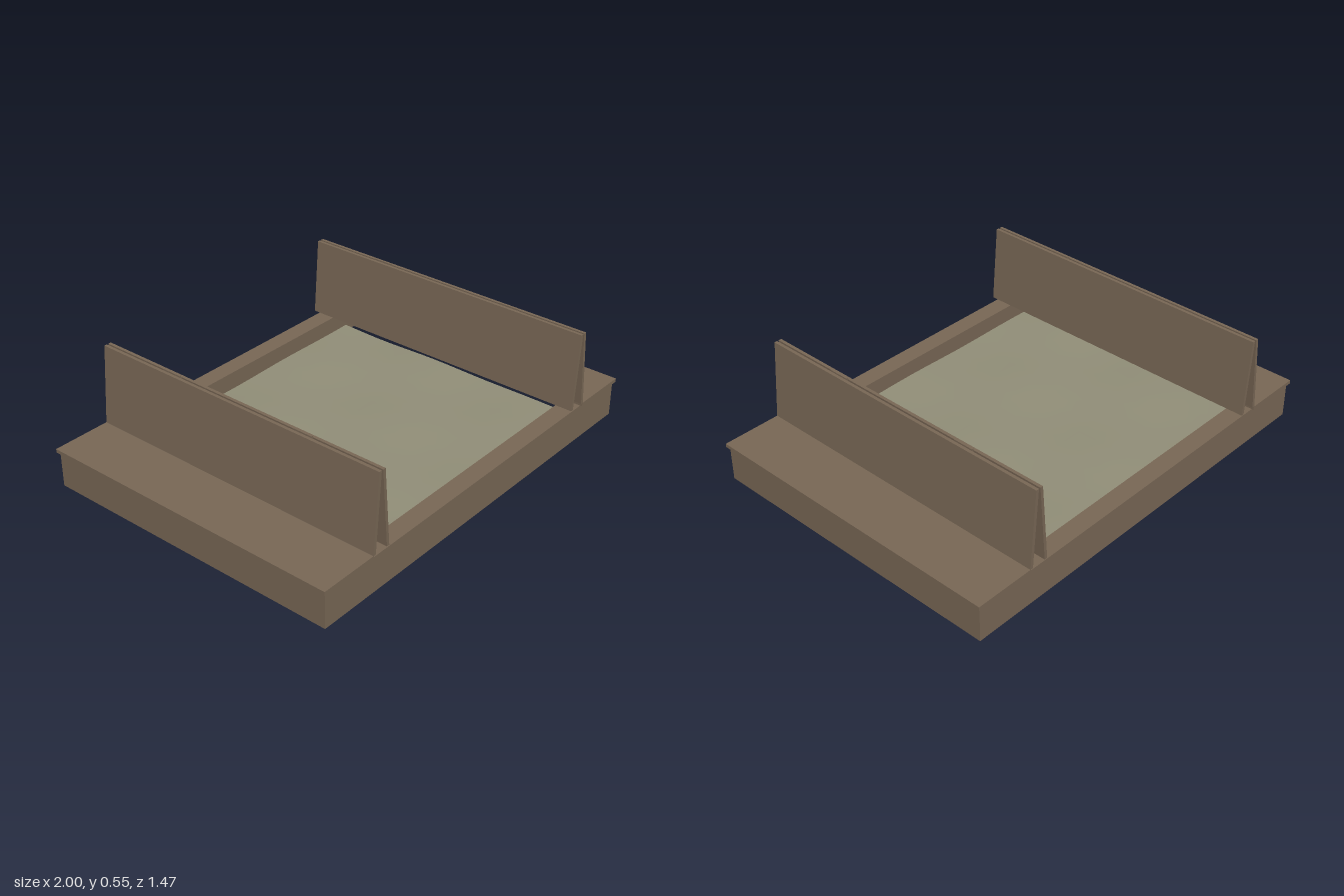
import * as THREE from 'three';

const wood = new THREE.MeshStandardMaterial({ color: 0x786755, flatShading: true });
wood.name = 'brown wood';
const sandMat = new THREE.MeshStandardMaterial({ color: 0x918e78, side: THREE.DoubleSide });
sandMat.name = 'sand';

function board(name, w, h, d, x, y, z) {
  const mesh = new THREE.Mesh(new THREE.BoxGeometry(w, h, d), wood);
  mesh.name = name;
  mesh.position.set(x, y, z);
  return mesh;
}

// Leaning lid panel: a thin slanted section run along z; side = +1 or -1 from the ridge
function lidPanel(name, ridgeX, side, length) {
  const pts = [[0.047, 0.183], [0.033, 0.183], [0.004, 0.543], [0.018, 0.543]];
  const shape = new THREE.Shape(pts.map(([x, y]) => new THREE.Vector2(ridgeX + side * x, y)));
  const geo = new THREE.ExtrudeGeometry(shape, { depth: length, bevelEnabled: false });
  geo.translate(0, 0, -length / 2);
  const mesh = new THREE.Mesh(geo, wood);
  mesh.name = name;
  return mesh;
}

// Gently uneven sand surface
function makeSand() {
  const geo = new THREE.PlaneGeometry(1.56, 1.33, 16, 14).rotateX(-Math.PI / 2);
  const p = geo.attributes.position;
  for (let i = 0; i < p.count; i++) {
    const x = p.getX(i), z = p.getZ(i);
    p.setY(i, 0.066 + 0.004 * Math.sin(7 * x + 2 * z) * Math.cos(9 * z - 3 * x));
  }
  geo.computeVertexNormals();
  const mesh = new THREE.Mesh(geo, sandMat);
  mesh.name = 'sand';
  return mesh;
}

export function createModel() {
  const model = new THREE.Group();
  model.name = 'sandbox';
  model.add(makeSand());

  // Frame walls and the inner ledges at front and back
  for (const s of [-1, 1]) {
    const end = s > 0 ? 'front' : 'back';
    model.add(board(end + 'Wall', 1.976, 0.166, 0.018, 0, 0.083, s * 0.716));
    model.add(board(end + 'Ledge', 1.94, 0.018, 0.067, 0, 0.157, s * 0.6735));
  }

  // Each side: wall, fixed bench board, folded lid pair with hinges
  for (const s of [-1, 1]) {
    const side = new THREE.Group();
    side.name = s > 0 ? 'leftSide' : 'rightSide';
    side.add(board('sideWall', 0.018, 0.166, 1.414, s * 0.979, 0.083, 0));
    side.add(board('benchBoard', 0.28, 0.017, 1.47, s * 0.86, 0.1745, 0));
    side.add(lidPanel('outerLid', s * 0.676, s, 1.47));
    side.add(lidPanel('innerLid', s * 0.676, -s, 1.47));
    for (const z of [-0.35, 0.35]) {
      side.add(board('hinge', 0.008, 0.03, 0.095, s * 0.676, 0.535, z));
    }
    model.add(side);
  }
  return model;
}
